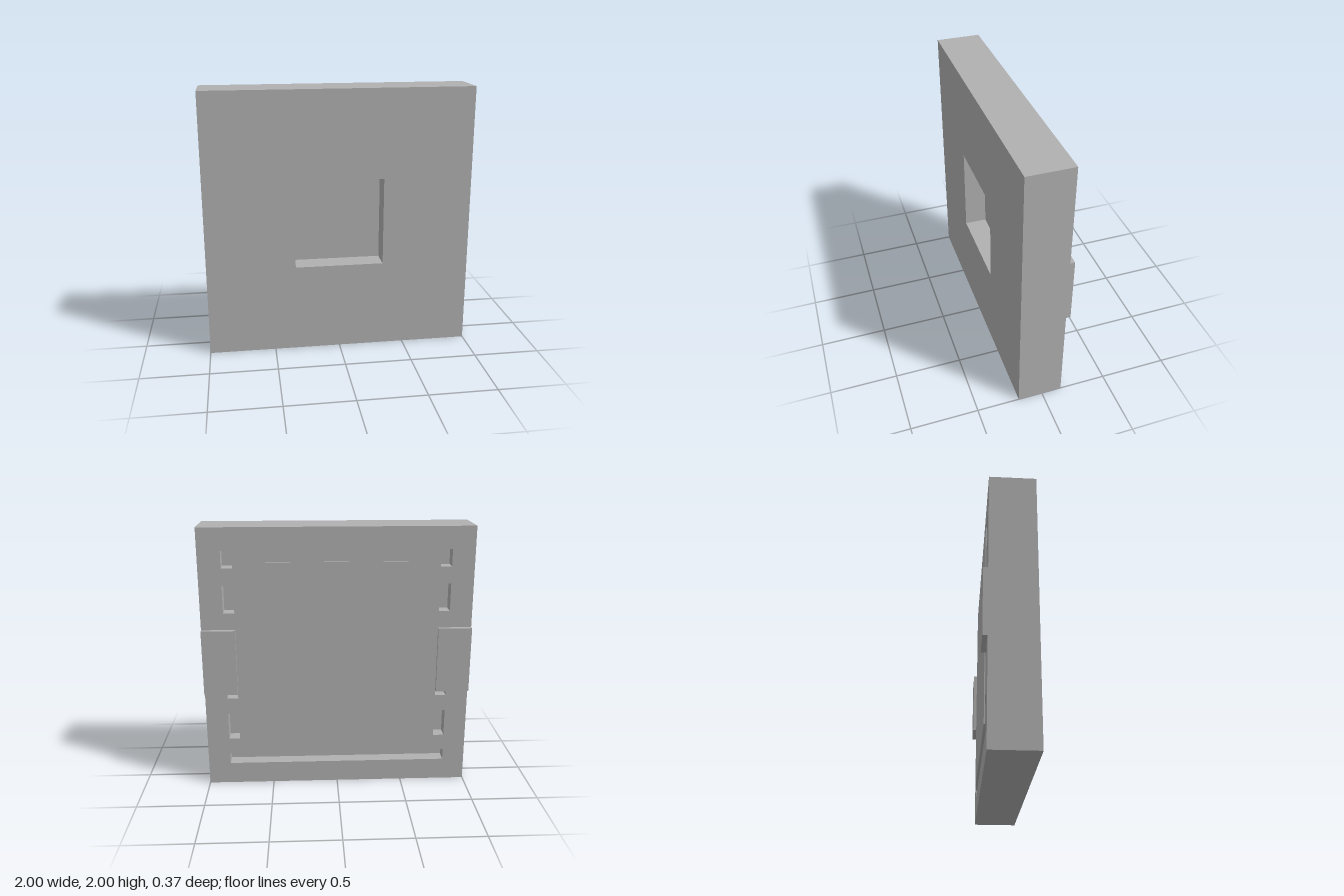
import * as THREE from 'three';

const U = 1 / 24; // modelling grid step

function rect(path, x0, y0, x1, y1) {
  path.moveTo(x0, y0);
  path.lineTo(x1, y0);
  path.lineTo(x1, y1);
  path.lineTo(x0, y1);
  path.closePath();
  return path;
}

export function createModel() {
  const group = new THREE.Group();
  const grey = new THREE.MeshStandardMaterial({ color: 0xb0b0b0 });
  grey.name = 'grey';

  const add = (name, geometry, x, y, z) => {
    const mesh = new THREE.Mesh(geometry, grey);
    mesh.name = name;
    mesh.position.set(x, y, z);
    group.add(mesh);
  };

  // Square slab with rectangular holes [x0, y0, x1, y1], from z0 to z1
  const slab = (name, holes, z0, z1) => {
    const shape = rect(new THREE.Shape(), -1, 0, 1, 2);
    for (const h of holes) shape.holes.push(rect(new THREE.Path(), ...h));
    const geometry = new THREE.ExtrudeGeometry(shape, { depth: z1 - z0, bevelEnabled: false });
    add(name, geometry, 0, 0, z0);
  };

  const back = -0.15, grooveFloor = -0.05, recessFloor = 0.0167, front = 0.1833;

  // Front layer with the square recess
  slab('frontPanel', [[-1 / 3, 2 / 3, 1 / 3, 4 / 3]], recessFloor, front);
  slab('core', [], grooveFloor, recessFloor);

  // Back layer with full-width grooves at an even pitch, cut off at top and bottom
  const grooves = [];
  for (let i = 0; i < 6; i++) {
    const y0 = Math.max(1 + 8 * i, 4) * U;
    const y1 = Math.min(6 + 8 * i, 44) * U;
    grooves.push([-20 * U, y0, 20 * U, y1]);
  }
  slab('groovedBack', grooves, back, grooveFloor);

  // Thin cover over the grooves
  add('backCover', new THREE.BoxGeometry(1.5, 1.5, 0.008), 0, 1, back - 0.004);

  // Clips on both edges of the back
  for (const side of [-1, 1]) {
    add(side > 0 ? 'leftClip' : 'rightClip',
      new THREE.BoxGeometry(0.25, 0.5, 0.0333), side * 0.875, 1, back - 0.01667);
  }
  return group;
}
